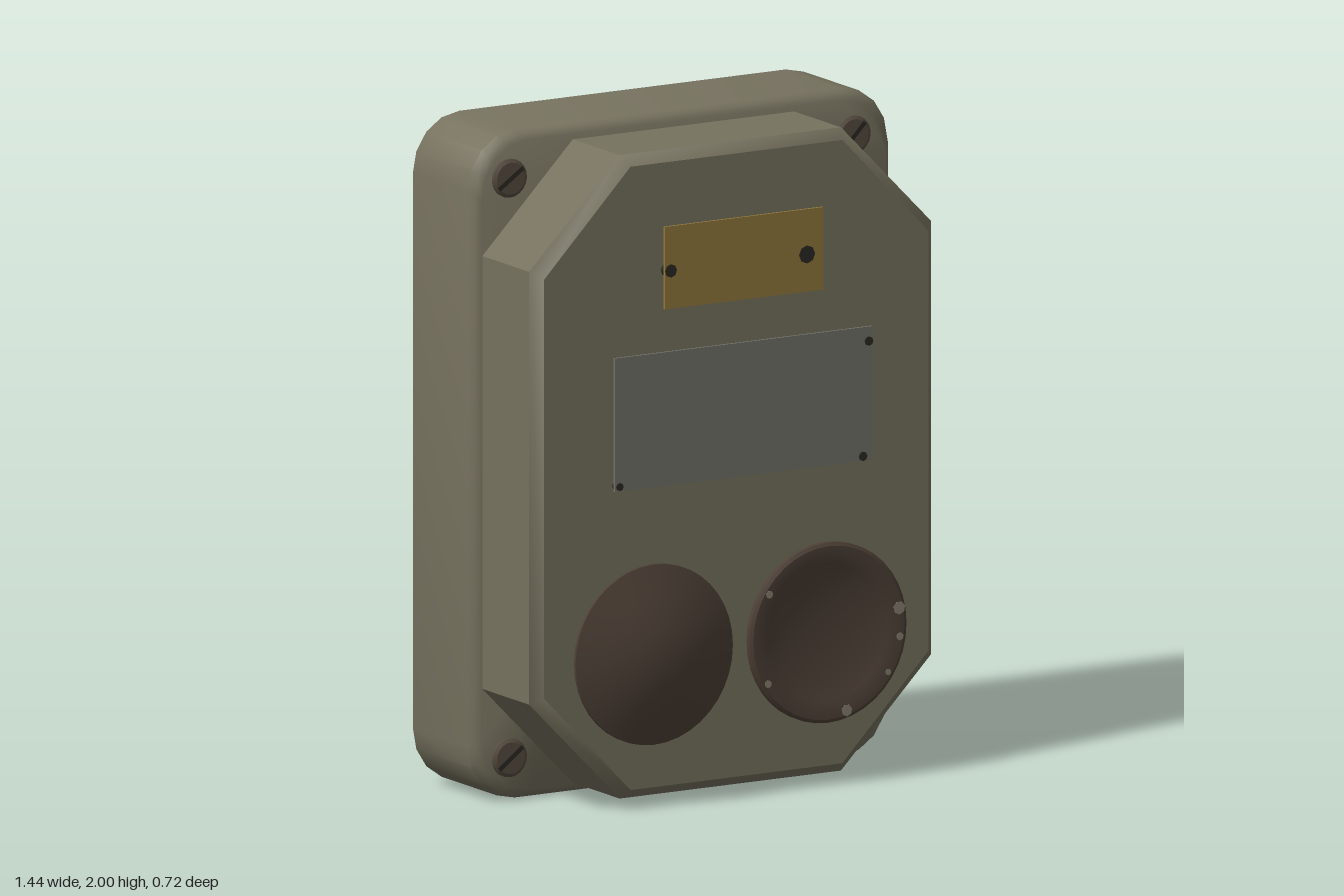
import * as THREE from 'three';
import { toCreasedNormals } from 'three/addons/utils/BufferGeometryUtils.js';

const mat = (name, color, side = THREE.FrontSide) => {
  const m = new THREE.MeshStandardMaterial({ color, side });
  m.name = name;
  return m;
};

// Convex prism along z: outline runs counter-clockwise, rings are [z, inset]
function prism(outline, rings, w, h) {
  const pos = [], idx = [], n = outline.length;
  for (const [z, inset] of rings)
    for (const [x, y] of outline) pos.push(x * (1 - inset / w), y * (1 - inset / h), z);
  for (let j = 0; j < rings.length - 1; j++)
    for (let i = 0; i < n; i++) {
      const a = j * n + i, b = j * n + (i + 1) % n;
      idx.push(a, b, b + n, a, b + n, a + n);
    }
  const last = (rings.length - 1) * n;
  for (let i = 1; i < n - 1; i++) {
    idx.push(0, i + 1, i);
    idx.push(last, last + i, last + i + 1);
  }
  const g = new THREE.BufferGeometry();
  g.setAttribute('position', new THREE.Float32BufferAttribute(pos, 3));
  g.setIndex(idx);
  return toCreasedNormals(g, 0.65);
}

// Rectangle outline with corners cut (steps = 1) or rounded (steps > 1)
function cornered(w, h, cx, cy, steps) {
  const pts = [];
  for (let q = 0; q < 4; q++) {
    const sx = q === 0 || q === 3 ? 1 : -1, sy = q < 2 ? 1 : -1;
    for (let k = 0; k <= steps; k++) {
      const a = (q + k / steps) * Math.PI / 2;
      pts.push([sx * (w - cx) + cx * Math.cos(a), sy * (h - cy) + cy * Math.sin(a)]);
    }
  }
  return pts;
}

export function createModel() {
  const model = new THREE.Group();
  const body = mat('olive grey paint', 0x77725f);
  const brass = mat('brass', 0x92793c);
  const steel = mat('grey plate', 0x73726a);
  const brown = mat('dark brown', 0x4d4036);
  const screwMetal = mat('screw metal', 0x564c40);
  const dark = mat('dark slot', 0x2c2822);
  const worn = mat('worn edge', 0x87806f);

  const add = (name, geo, material, x, y, z, parent = model) => {
    const m = new THREE.Mesh(geo, material);
    m.name = name;
    m.position.set(x, y, z);
    parent.add(m);
    return m;
  };
  // Turned part whose axis points forward
  const turned = (pts, seg) => toCreasedNormals(
    new THREE.LatheGeometry(pts.map(p => new THREE.Vector2(...p)), seg).rotateX(Math.PI / 2), 0.5);

  // Housing: rounded back box and chamfered front cover
  add('backBox', prism(cornered(0.72, 1, 0.16, 0.17, 4),
    [[-0.36, 0], [-0.05, 0], [-0.03, 0.01], [-0.018, 0.028]], 0.72, 1), body, 0, 1, 0);
  add('frontCover', prism(cornered(0.69, 0.963, 0.31, 0.315, 1),
    [[-0.04, 0], [0.245, 0], [0.28, 0.03]], 0.69, 0.963), body, 0, 0.993, 0);

  // Slotted corner screws
  const head = turned([[0, -0.02], [0.058, -0.02], [0.058, 0.008], [0.048, 0.014], [0, 0.015]], 20);
  for (const [x, y, turn] of [[-0.6, 1.865, 0.6], [0.58, 1.865, 0.8], [-0.6, 0.13, 0.65], [0.595, 0.13, 0.7]]) {
    const screw = new THREE.Group();
    screw.name = 'cornerScrew';
    screw.position.set(x, y, -0.018);
    screw.rotation.z = turn;
    add('screwHead', head, screwMetal, 0, 0, 0, screw);
    add('screwSlot', new THREE.BoxGeometry(0.1, 0.014, 0.006), dark, 0, 0, 0.0125, screw);
    model.add(screw);
  }

  // Name plates held on pins just proud of the cover
  add('brassPlate', new THREE.BoxGeometry(0.545, 0.247, 0.008), brass, 0.012, 1.615, 0.3);
  add('greyPlate', new THREE.BoxGeometry(0.885, 0.4, 0.008), steel, 0.012, 1.163, 0.298);
  for (const [x, y, r] of [[-0.24, 1.605, 0.02], [0.227, 1.603, 0.027],
    [0.44, 1.32, 0.014], [-0.415, 0.977, 0.012], [0.42, 0.977, 0.014]])
    add('platePin', new THREE.CylinderGeometry(r, r, 0.03, 8).rotateX(Math.PI / 2), dark, x, y, 0.291);

  // Domed button and dished button
  add('domedButton', turned([[0, 0], [0.262, 0], [0.27, 0.006], [0.27, 0.016],
    [0.18, 0.044], [0.09, 0.07], [0, 0.073]], 40), brown, -0.298, 0.463, 0.29);
  add('dishedButton', turned([[0, -0.008], [0.25, -0.008], [0.27, 0], [0.27, 0.016], [0.26, 0.022],
    [0.225, 0.022], [0.205, 0.016], [0.14, 0.004], [0.07, -0.002], [0, -0.004]], 40), brown, 0.298, 0.463, 0.29);
  for (const x of [-0.298, 0.298])
    add('buttonStem', new THREE.CylinderGeometry(0.08, 0.08, 0.02, 16).rotateX(Math.PI / 2), brown, x, 0.463, 0.275);

  // Worn flecks on the dished button's rim
  for (const [angle, r] of [[0.2, 0.02], [-1.32, 0.018], [-0.15, 0.012], [2.55, 0.012], [3.7, 0.012], [-0.6, 0.01]])
    add('wornFleck', new THREE.CylinderGeometry(r, r, 0.003, 7).rotateX(Math.PI / 2), worn,
      0.298 + 0.246 * Math.cos(angle), 0.463 + 0.246 * Math.sin(angle), 0.312);

  return model;
}
